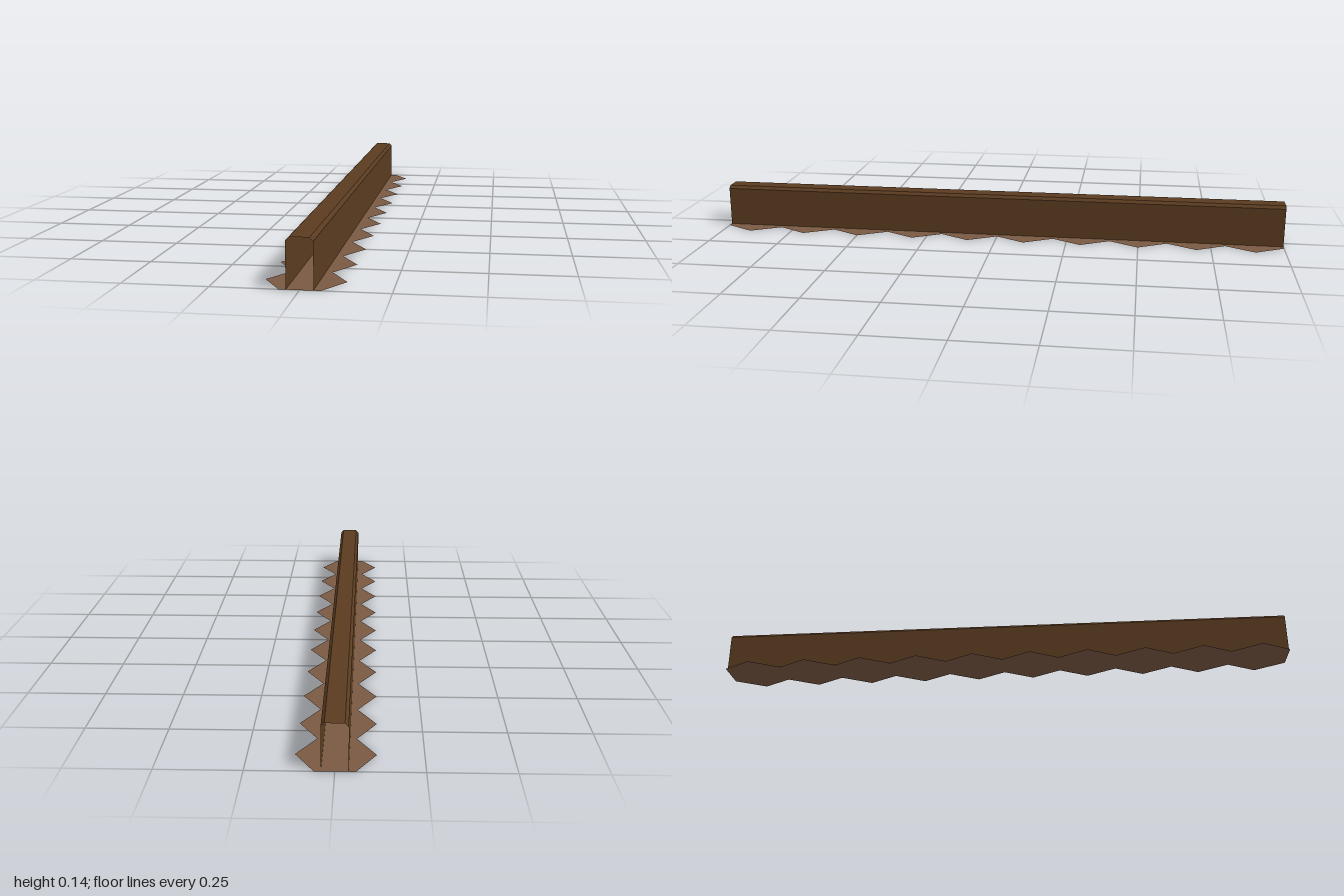
import * as THREE from 'three';

const HEXES = 10;
const APOTHEM = 0.1;
const RADIUS = APOTHEM * 2 / Math.sqrt(3);

// flat strip running the full length between two points of the cross-section
function strip(name, [x0, y0], [x1, y1], material) {
  const geometry = new THREE.PlaneGeometry(Math.hypot(x1 - x0, y1 - y0), 2);
  geometry.rotateX(-Math.PI / 2);
  geometry.rotateZ(Math.atan2(y1 - y0, x1 - x0));
  geometry.translate((x0 + x1) / 2, (y0 + y1) / 2, 0);
  const mesh = new THREE.Mesh(geometry, material);
  mesh.name = name;
  return mesh;
}

export function createModel() {
  const model = new THREE.Group();
  model.name = 'hexWallSegment';

  const wood = new THREE.MeshStandardMaterial({ color: 0x5a3b20, side: THREE.DoubleSide });
  wood.name = 'dark wood';
  const earth = new THREE.MeshStandardMaterial({ color: 0x7a5a43, side: THREE.DoubleSide });
  earth.name = 'light brown ground';

  // base: a row of flat hexagons joined along z
  const base = new THREE.Group();
  base.name = 'base';
  for (let i = 0; i < HEXES; i++) {
    const geometry = new THREE.CircleGeometry(RADIUS, 6);
    geometry.rotateX(-Math.PI / 2);
    const tile = new THREE.Mesh(geometry, earth);
    tile.name = 'hexTile';
    tile.position.z = (i - (HEXES - 1) / 2) * 2 * APOTHEM;
    base.add(tile);
  }
  model.add(base);

  // wall: open-ended shell with chamfered top edges
  const wall = new THREE.Group();
  wall.name = 'wall';
  const profile = [[-0.038, 0], [-0.038, 0.135], [-0.028, 0.145], [0.028, 0.145], [0.038, 0.135], [0.038, 0]];
  const names = ['rightSide', 'rightChamfer', 'top', 'leftChamfer', 'leftSide'];
  names.forEach((name, i) => wall.add(strip(name, profile[i], profile[i + 1], wood)));
  model.add(wall);

  return model;
}
